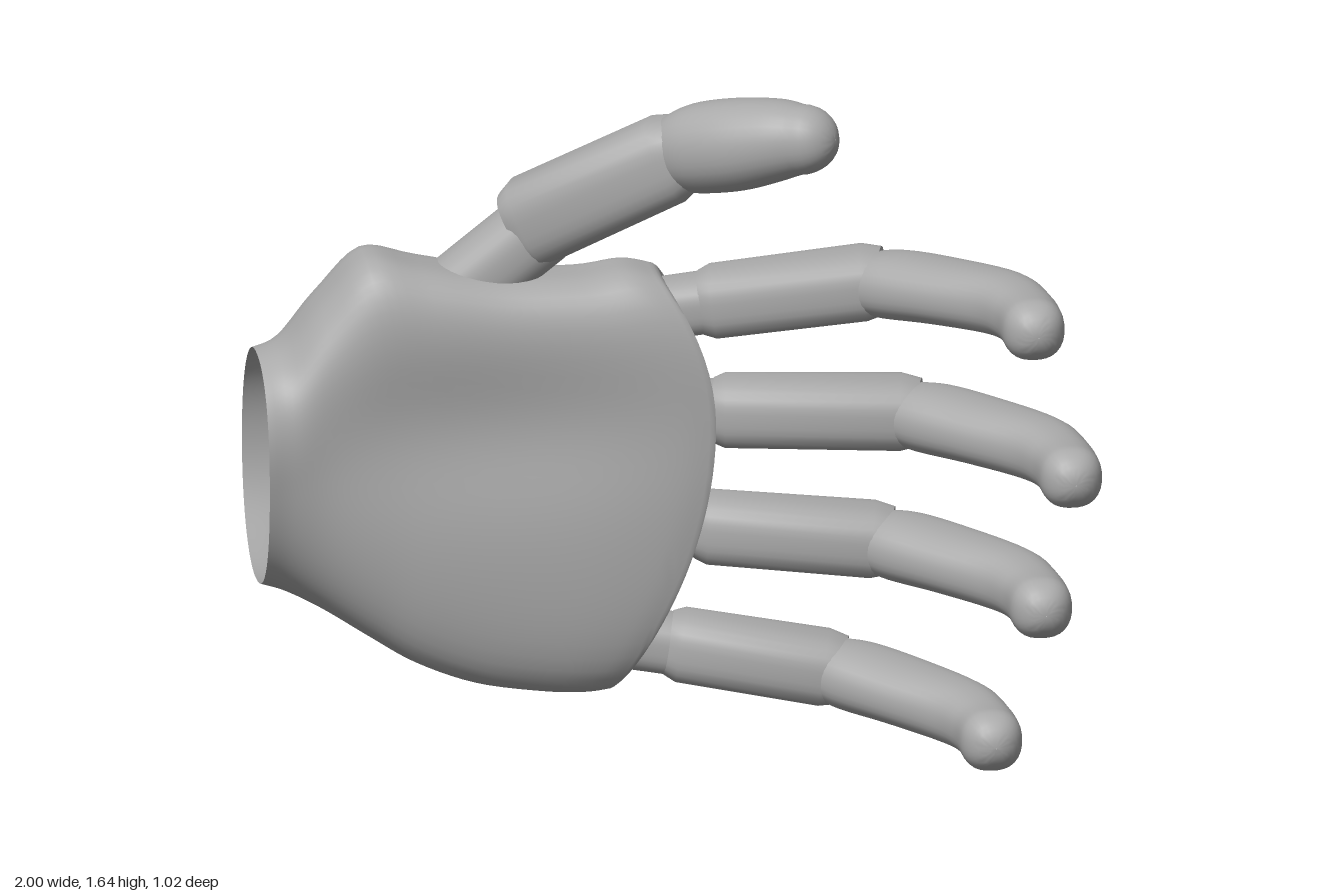
import * as THREE from 'three';
import { toCreasedNormals } from 'three/addons/utils/BufferGeometryUtils.js';

const V = (x, y, z) => new THREE.Vector3(x, y, z);
const grey = new THREE.MeshStandardMaterial({ color: 0xaaaaaa, side: THREE.DoubleSide });
grey.name = 'plain grey';

// Smoothly fills in rows of numbers, m steps per interval
function resample(rows, m) {
  const out = [];
  const last = rows.length - 1;
  for (let i = 0; i < last; i++) {
    const [a, b, c, d] = [rows[Math.max(i - 1, 0)], rows[i], rows[i + 1], rows[Math.min(i + 2, last)]];
    for (let s = 0; s < m; s++) {
      const t = s / m;
      out.push(b.map((v, k) => {
        const cubic = 3 * (v - c[k]) + d[k] - a[k];
        const square = 2 * a[k] - 5 * v + 4 * c[k] - d[k];
        return v + 0.5 * t * (c[k] - a[k] + t * (square + t * cubic));
      }));
    }
  }
  out.push(rows[last]);
  return out;
}

// Unit rounded-square outline: q = 2 is a circle, larger is boxier
function outline(angle, q) {
  const c = Math.cos(angle), s = Math.sin(angle);
  const r = (Math.abs(c) ** q + Math.abs(s) ** q) ** (-1 / q);
  return [c * r, s * r];
}

// Skin over equal-length closed rings
function loft(name, rings, crease = 0.6) {
  const n = rings[0].length, index = [];
  for (let i = 0; i < rings.length - 1; i++) {
    for (let j = 0; j < n; j++) {
      const k = (j + 1) % n, a = i * n, b = a + n;
      index.push(a + j, a + k, b + k, a + j, b + k, b + j);
    }
  }
  const geo = new THREE.BufferGeometry().setFromPoints(rings.flat());
  geo.setIndex(index);
  const mesh = new THREE.Mesh(toCreasedNormals(geo, crease), grey);
  mesh.name = name;
  return mesh;
}

// Limb piece from rows of [x, y, z, half width, half thickness]
function limb(name, rows, { smooth = 1, q = 2.4, tip = 0 } = {}) {
  const path = resample(rows, smooth);
  const N = 32, rings = [];
  const ring = (c, T, w, h) => {
    const A = V(0, 1, 0).addScaledVector(T, -T.y).normalize();
    const B = T.clone().cross(A);
    rings.push(Array.from({ length: N }, (_, j) => {
      const [u, v] = outline(j / N * Math.PI * 2, q);
      return c.clone().addScaledVector(A, u * w).addScaledVector(B, v * h);
    }));
  };
  const pts = path.map(p => V(p[0], p[1], p[2]));
  const tangent = i => pts[Math.min(i + 1, pts.length - 1)].clone().sub(pts[Math.max(i - 1, 0)]).normalize();
  ring(pts[0], tangent(0), 0.002, 0.002);
  path.forEach((p, i) => ring(pts[i], tangent(i), p[3], p[4]));
  const end = path.length - 1, T = tangent(end);
  // Rounded or flat end
  const steps = tip ? 8 : 1;
  for (let s = 1; s <= steps; s++) {
    const a = s / steps * 1.55, k = Math.cos(a);
    ring(pts[end].clone().addScaledVector(T, tip * Math.sin(a)), T, path[end][3] * k, path[end][4] * k);
  }
  return loft(name, rings);
}

// Palm: hollow shell, open at the wrist, closed by the knuckle wall
function palm() {
  // how far along, bottom, top, front z, back z, boxiness of the front
  const rows = resample([
    [0.00, 0.38, 0.96, 0.01, -0.49, 2.3],
    [0.06, 0.36, 0.99, -0.01, -0.495, 2.5],
    [0.15, 0.315, 1.10, -0.025, -0.505, 3],
    [0.28, 0.24, 1.21, -0.03, -0.513, 3.6],
    [0.42, 0.17, 1.185, -0.03, -0.51, 4],
    [0.60, 0.115, 1.15, -0.03, -0.495, 4.2],
    [0.80, 0.088, 1.145, -0.03, -0.455, 4.4],
    [0.93, 0.08, 1.16, -0.035, -0.41, 4.4],
    [1.00, 0.085, 1.145, -0.045, -0.375, 4.4],
  ], 5);
  const N = 96, zc = -0.24;
  const endX = y => 0.105 - (y < 0.78 ? 0.52 : 0.95) * (y - 0.78) ** 2;
  const ring = ([t, y0, y1, zf, zb, q], scale = 1, dx = 0) => Array.from({ length: N }, (_, j) => {
    const a = j / N * Math.PI * 2, front = a < Math.PI;
    const [u, v] = outline(a, front ? q : 2.1);
    const y = (y0 + y1) / 2 + u * scale * (y1 - y0) / 2;
    let z = zc + v * scale * (front ? zf - zc : zc - zb);
    // hollow of the palm
    if (front) {
      const across = (y - 0.8) / 0.2;
      z -= 0.045 * v * Math.sin(Math.PI * t) * Math.exp(-across * across);
    }
    return V(-1 + t * (1 + endX(y)) + dx, y, z);
  });
  const last = rows[rows.length - 1];
  const rings = rows.map(r => ring(r));
  [[0.985, 0.006], [0.96, 0.005], [0.92, -0.008], [0.85, -0.02], [0.6, -0.02], [0.3, -0.02], [0.01, -0.02]]
    .forEach(([s, dx]) => rings.push(ring(last, s, dx)));
  return loft('palm', rings, 0.8);
}

// Finger: neck, straight segment, curled end
function finger(name, { dx, dz, start, y }) {
  const g = new THREE.Group();
  g.name = name;
  const joint = 0.52 + dx;
  const yAt = x => (x < joint
    ? THREE.MathUtils.mapLinear(x, start - 0.08, joint, y[0], y[1])
    : THREE.MathUtils.mapLinear(Math.min(x, joint + 0.3), joint, joint + 0.3, y[1], y[2]));
  const row = (x, z, w, h) => [x, yAt(x), z, w, h];
  g.add(limb(name + 'Neck', [
    row(start - 0.2, -0.225, 0.072, 0.085), row(start + 0.03, -0.2, 0.072, 0.085),
  ], { q: 3 }));
  g.add(limb(name + 'Segment', [
    row(start - 0.005, -0.205, 0.074, 0.085), row(start + 0.025, -0.2, 0.086, 0.1),
    row(joint - 0.03, -0.14, 0.087, 0.113), row(joint + 0.015, -0.13, 0.076, 0.1),
  ], { q: 3 }));
  const curl = [
    [0.49, -0.135, 0.07, 0.095], [0.56, -0.085, 0.08, 0.112], [0.67, 0.025, 0.077, 0.112],
    [0.785, 0.17, 0.076, 0.095], [0.825, 0.3, 0.071, 0.08], [0.832, 0.41, 0.076, 0.076],
  ];
  g.add(limb(name + 'Tip', curl.map(([x, z, w, h], i) => row(x + dx, z + dz * i / 5, w, h)),
    { smooth: 5, tip: 0.08 }));
  return g;
}

function thumb() {
  const g = new THREE.Group();
  g.name = 'thumb';
  g.add(limb('thumbNeck', [
    [-0.6, 1.01, -0.24, 0.09, 0.09], [-0.54, 1.06, -0.24, 0.095, 0.095], [-0.3, 1.26, -0.215, 0.095, 0.095],
  ], { q: 2.5 }));
  g.add(limb('thumbSegment', [
    [-0.355, 1.255, -0.23, 0.095, 0.09], [-0.325, 1.272, -0.22, 0.112, 0.105],
    [0.0, 1.455, -0.1, 0.11, 0.105], [0.035, 1.475, -0.087, 0.095, 0.095],
  ], { q: 3 }));
  g.add(limb('thumbTip', [
    [0.01, 1.465, -0.105, 0.09, 0.09], [0.07, 1.49, -0.06, 0.11, 0.112], [0.16, 1.518, 0.01, 0.113, 0.118],
    [0.25, 1.545, 0.075, 0.1, 0.105], [0.3, 1.555, 0.112, 0.086, 0.086],
  ], { smooth: 5, tip: 0.095, q: 2.2 }));
  return g;
}

export function createModel() {
  const hand = new THREE.Group();
  hand.name = 'hand';
  hand.add(palm(), thumb());
  hand.add(finger('indexFinger', { dx: 0, dz: 0, start: 0.1, y: [1.04, 1.11, 1.138] }));
  hand.add(finger('middleFinger', { dx: 0.09, dz: 0.02, start: 0.13, y: [0.775, 0.77, 0.762] }));
  hand.add(finger('ringFinger', { dx: 0.02, dz: -0.01, start: 0.09, y: [0.485, 0.445, 0.422] }));
  hand.add(finger('littleFinger', { dx: -0.1, dz: -0.035, start: 0.02, y: [0.195, 0.12, 0.08] }));
  return hand;
}
